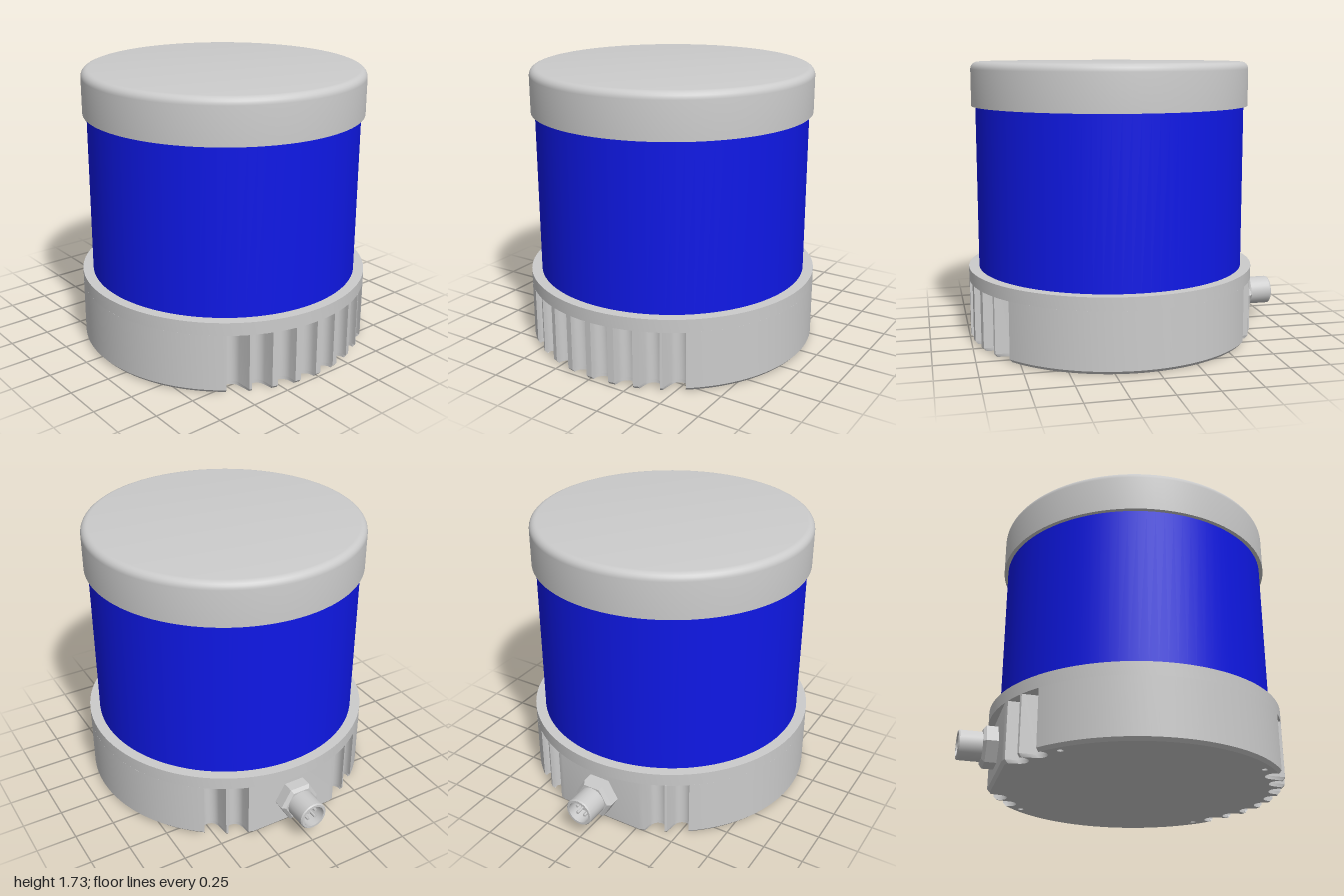
import * as THREE from 'three';
import { toCreasedNormals } from 'three/addons/utils/BufferGeometryUtils.js';

const AXIS = 0.09;      // x of the round housing's axis
const R = 0.905;        // base radius
const LIP = 0.37;       // underside of the base rim
const grey = new THREE.MeshStandardMaterial({ color: 0xcccccc });
const blue = new THREE.MeshStandardMaterial({ color: 0x0f18e6 });

function part(name, geometry, material = grey) {
  const mesh = new THREE.Mesh(geometry, material);
  mesh.name = name;
  return mesh;
}

const lathe = (profile, segments = 96) =>
  toCreasedNormals(new THREE.LatheGeometry(profile.map(([r, y]) => new THREE.Vector2(r, y)), segments), 0.5);

// Footprint of the lower base: a disc with rounded cooling grooves and one flat
function footprint() {
  const pts = [];
  const edgeX = (z) => Math.sqrt(R * R - z * z);
  const arc = (a, b, n) => {
    for (let i = 0; i <= n; i++) {
      const t = a + (b - a) * i / n;
      pts.push([R * Math.cos(t), R * Math.sin(t)]);
    }
  };
  // U-shaped groove from z0 to z1, cut in along x; side is +1 or -1
  const groove = (z0, z1, side) => {
    const mid = (z0 + z1) / 2, r = Math.abs(z1 - z0) / 2;
    const inner = Math.min(edgeX(z0), edgeX(z1)) - 0.02;
    pts.push([side * edgeX(z0), z0]);
    for (let i = 0; i <= 10; i++) {
      const t = Math.PI * i / 10;
      pts.push([side * (inner - r * Math.sin(t)), mid + (z0 - mid) * Math.cos(t)]);
    }
    pts.push([side * edgeX(z1), z1]);
  };

  const half = 0.056;
  const centres = [-0.495, -0.37, -0.225, -0.075, 0.075, 0.225, 0.37, 0.495];
  const a = Math.asin((0.495 + half) / R);
  for (const c of centres) groove(c - half, c + half, 1);
  arc(a + 0.02, Math.PI - a - 0.02, 36);
  for (const c of [0.495, 0.37]) groove(c + half, c - half, -1);
  pts.push([-edgeX(0.28), 0.28], [-edgeX(0.28), -0.28]);
  for (const c of [-0.37, -0.495]) groove(c + half, c - half, -1);
  arc(Math.PI + a + 0.02, 2 * Math.PI - a - 0.02, 36);

  const shape = new THREE.Shape(pts.map(([x, y]) => new THREE.Vector2(x, y)));
  // four small screw holes on the diagonals
  for (let i = 0; i < 4; i++) {
    const t = Math.PI / 4 + i * Math.PI / 2;
    const hole = new THREE.Path();
    hole.absarc(0.84 * Math.cos(t), 0.84 * Math.sin(t), 0.018, 0, Math.PI * 2, true);
    shape.holes.push(hole);
  }
  return shape;
}

function slab(shape, y0, y1) {
  const g = new THREE.ExtrudeGeometry(shape, { depth: y1 - y0, bevelEnabled: false, curveSegments: 8 });
  g.rotateX(-Math.PI / 2);
  g.translate(0, y0, 0);
  return g;
}

// Cable connector, built along +y and then turned to point along -x
function connector() {
  const g = new THREE.Group();
  g.name = 'connector';

  const nut = new THREE.CylinderGeometry(0.13, 0.13, 0.07, 6);
  nut.translate(0, 0.035, 0);
  g.add(part('nut', toCreasedNormals(nut, 0.4)));
  const chamfer = new THREE.CylinderGeometry(0.108, 0.13, 0.018, 6);
  chamfer.translate(0, 0.079, 0);
  g.add(part('nutChamfer', toCreasedNormals(chamfer, 0.3)));

  // hollow socket with a floor
  g.add(part('socket', lathe([
    [0.09, 0], [0.09, 0.222], [0.084, 0.23], [0.07, 0.23], [0.07, 0.13], [0, 0.13],
  ], 24)));
  for (let i = 0; i < 4; i++) {
    const t = Math.PI / 4 + i * Math.PI / 2;
    const pin = new THREE.CylinderGeometry(0.009, 0.009, 0.08, 10);
    pin.translate(0.035 * Math.cos(t), 0.17, 0.035 * Math.sin(t));
    g.add(part('pin', pin));
  }
  const key = new THREE.BoxGeometry(0.016, 0.09, 0.02);
  key.translate(0.064, 0.175, 0);
  g.add(part('key', key));

  g.rotation.z = Math.PI / 2;
  g.position.set(-0.77, 0.19, 0);
  return g;
}

export function createModel() {
  const model = new THREE.Group();
  model.name = 'scanner';
  const housing = new THREE.Group();
  housing.name = 'housing';
  housing.position.x = AXIS;

  // grooved lower base with a chamfered bottom edge
  const shape = footprint();
  housing.add(part('baseBody', toCreasedNormals(slab(shape, 0.02, LIP), 0.5)));
  const foot = slab(shape, 0, 0.02);
  const p = foot.attributes.position;
  for (let i = 0; i < p.count; i++) {
    const r = Math.hypot(p.getX(i), p.getZ(i));
    if (p.getY(i) < 0.01 && r > R - 0.018) {
      const k = (R - 0.018) / r;
      p.setX(i, p.getX(i) * k);
      p.setZ(i, p.getZ(i) * k);
    }
  }
  housing.add(part('baseChamfer', toCreasedNormals(foot, 0.5)));

  // full round rim above the grooves
  housing.add(part('baseRim', lathe([[0, LIP], [R, LIP], [R, 0.45], [0, 0.45]])));

  // sensor window
  const window = new THREE.CylinderGeometry(0.84, 0.84, 1.01, 96);
  window.translate(0, 0.955, 0);
  housing.add(part('window', window, blue));

  // cap with a rounded top edge
  const cap = [[0, 1.46], [0.865, 1.46]];
  for (let i = 0; i <= 6; i++) {
    const t = Math.PI / 2 * i / 6;
    cap.push([0.82 + 0.045 * Math.cos(t), 1.685 + 0.045 * Math.sin(t)]);
  }
  cap.push([0, 1.73]);
  housing.add(part('cap', lathe(cap)));

  model.add(housing, connector());
  return model;
}
